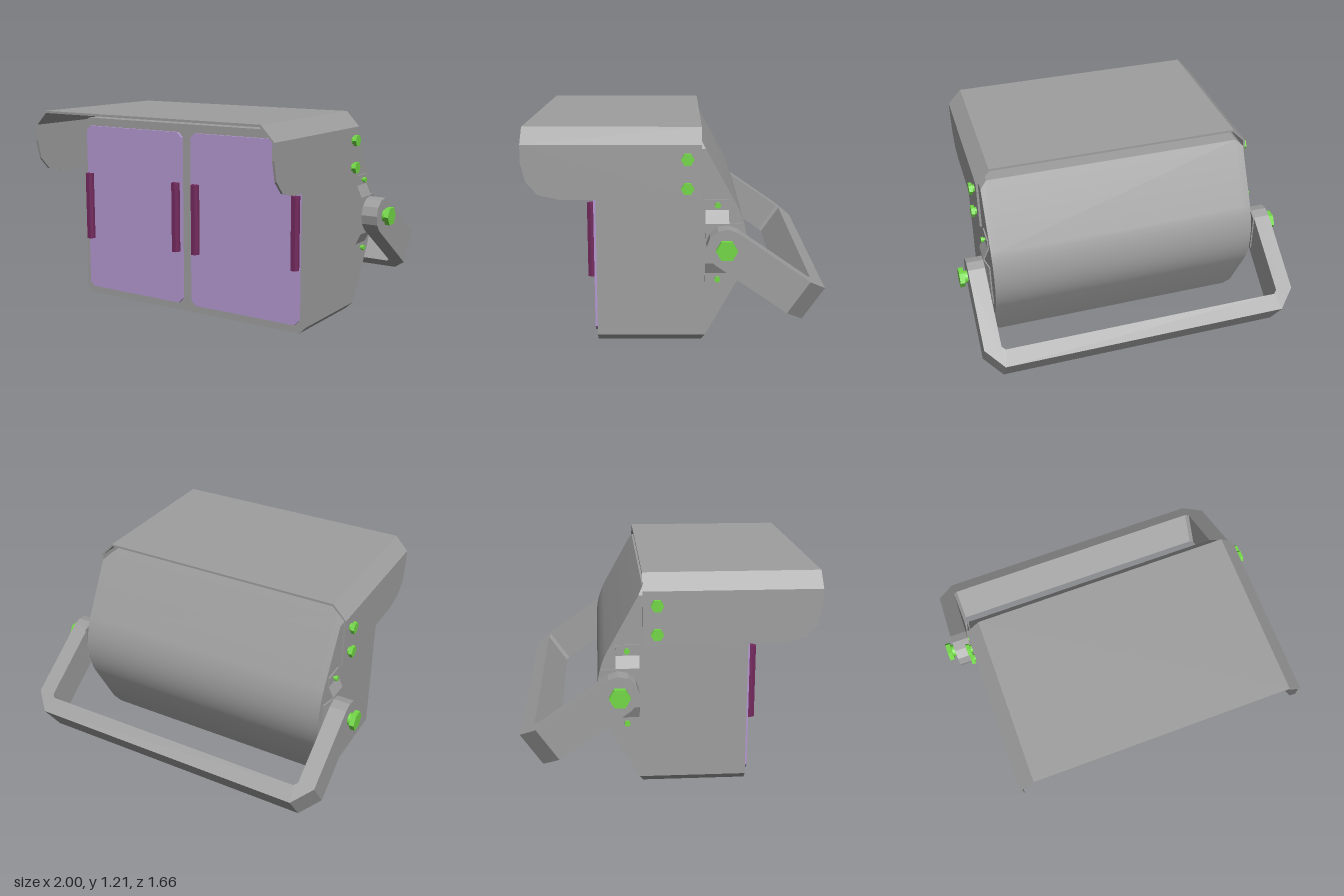
import * as THREE from 'three';
import { toCreasedNormals } from 'three/addons/utils/BufferGeometryUtils.js';

const mat = (color) => new THREE.MeshStandardMaterial({ color });
const grey = mat(0x9e9e9e), lens = mat(0xb498d2), grip = mat(0x742a5e), green = mat(0x73d846);

const shapeOf = (pts) => new THREE.Shape(pts.map(([x, y]) => new THREE.Vector2(x, y)));
const extrude = (shape, depth, steps = 1) =>
  new THREE.ExtrudeGeometry(shape, { depth, steps, bevelEnabled: false, curveSegments: 12 });

export function createModel() {
  const model = new THREE.Group();
  const add = (name, geo, material, parent = model) => {
    const mesh = new THREE.Mesh(geo, material);
    mesh.name = name;
    parent.add(mesh);
    return mesh;
  };

  // Housing: side profile (-z, y) swept along x, long edges chamfered at both ends
  const profile = new THREE.Shape();
  profile.moveTo(-0.43, 0);
  profile.lineTo(0.15, 0);
  profile.lineTo(0.352, 0.365);
  profile.quadraticCurveTo(0.45, 0.57, 0.352, 0.775);
  profile.lineTo(0.15, 1.14);
  profile.lineTo(-0.43, 1.14);
  profile.closePath();
  const body = extrude(profile, 1.62, 3).rotateY(Math.PI / 2).translate(-0.81, 0, 0);
  const pos = body.attributes.position;
  for (let i = 0; i < pos.count; i++) {
    const x = pos.getX(i), y = pos.getY(i);
    if (Math.abs(x) < 0.5) pos.setX(i, Math.sign(x) * 0.77);
    else if (y < 0.01 || y > 1.13) {
      pos.setY(i, y < 0.01 ? 0.04 : 1.1);
      if (pos.getZ(i) < 0) pos.setZ(i, -0.172);
    }
  }
  add('housing', toCreasedNormals(body, 0.6), grey);

  // Front panels and their grips
  const c = 0.03, w = 0.37, h = 0.522;
  const panelShape = shapeOf([[-w + c, -h], [w - c, -h], [w, -h + c], [w, h - c],
    [w - c, h], [-w + c, h], [-w, h - c], [-w, -h + c]]);
  const gripShape = shapeOf([[-0.024, 0], [0.024, 0], [0.024, 0.018], [0.013, 0.037], [-0.013, 0.037], [-0.024, 0.018]]);
  for (const s of [-1, 1]) {
    add('frontPanel', extrude(panelShape, 0.017), lens).position.set(s * 0.403, 0.569, 0.429);
    for (const x of [0.071, 0.748]) {
      const g = extrude(gripShape, 0.42).rotateX(Math.PI / 2);
      add('panelGrip', g, grip).position.set(s * x, 0.79, 0.444);
    }
  }

  // Hood: folded top sheet and two rounded side plates
  const hood = new THREE.Group();
  hood.name = 'hood';
  model.add(hood);
  const topShape = shapeOf([[-0.832, 1.125], [-0.819, 1.125], [-0.745, 1.199], [0.745, 1.199],
    [0.819, 1.125], [0.832, 1.125], [0.75, 1.212], [-0.75, 1.212]]);
  add('hoodTop', extrude(topShape, 0.98).translate(0, 0, -0.15), grey, hood);
  const sideShape = shapeOf([[0.15, 0.823], [0.15, 1.125], [-0.83, 1.125], [-0.83, 1.03],
    [-0.805, 0.92], [-0.74, 0.85], [-0.62, 0.823]]);
  for (const x of [-0.832, 0.819])
    add('hoodSide', extrude(sideShape, 0.013).rotateY(Math.PI / 2).translate(x, 0, 0), grey, hood);

  // Bolt pointing outward along x: neck plus wider head
  const bolt = (name, s, x, y, z, r, len, sides) => {
    const group = new THREE.Group();
    group.name = name;
    const part = (n, radius, from, to, k) => add(n,
      toCreasedNormals(new THREE.CylinderGeometry(radius, radius, to - from, k), 0.6)
        .rotateZ(Math.PI / 2).translate(s * (from + to) / 2, 0, 0), green, group);
    part('boltNeck', r * 0.62, -0.01, len * 0.5, 16);
    part('boltHead', r, len * 0.42, len, sides);
    group.position.set(s * x, y, z);
    model.add(group);
  };

  // Side brackets: strip bent outward in the middle, with a flap folded back
  const t = 0.008;
  const line = [[0.811, 0.345], [0.811, 0.405], [0.842, 0.47], [0.842, 0.695], [0.811, 0.765], [0.811, 0.825]];
  const strip = shapeOf([...line.map(([x, y]) => [x + t, y]), ...line.slice().reverse()]);
  for (const s of [-1, 1]) {
    const bracket = new THREE.Group();
    bracket.name = 'sideBracket';
    model.add(bracket);
    const g = extrude(strip, 0.13).translate(0, 0, -0.3);
    if (s < 0) g.rotateZ(Math.PI).translate(0, 1.17, 0);
    add('bracketStrip', g, grey, bracket);
    const flap = extrude(shapeOf([[0.842, 0.3], [0.85, 0.3], [0.832, 0.385], [0.824, 0.385]]
      .map(([x, z]) => [s * x, z])), 0.225).rotateX(-Math.PI / 2).translate(0, 0.47, 0);
    add('bracketFlap', flap, grey, bracket);

    for (const y of [0.89, 1.05]) bolt('hoodBolt', s, 0.83, y, -0.073, 0.036, 0.036, 6);
    for (const y of [0.375, 0.795]) bolt('bracketScrew', s, 0.818, y, -0.238, 0.016, 0.027, 16);
    bolt('pivotBolt', s, 0.95, 0.58, -0.282, 0.059, 0.05, 6);
  }

  // Carrying yoke: U-shaped bar, arms along local +y, tilted down and back
  const yoke = new THREE.Group();
  yoke.name = 'yoke';
  const half = 0.108;
  const u = shapeOf([[0.85, 0], [0.95, 0], [0.95, 0.48], [0.85, 0.596],
    [-0.85, 0.596], [-0.95, 0.48], [-0.95, 0], [-0.85, 0],
    [-0.85, 0.476], [-0.83, 0.496], [0.83, 0.496], [0.85, 0.476]]);
  add('yokeBar', extrude(u, half * 2).translate(0, 0, -half), grey, yoke);
  for (const s of [-1, 1]) {
    const end = new THREE.CylinderGeometry(half, half, 0.1, 6, 1, false, Math.PI, Math.PI);
    add('yokeEnd', toCreasedNormals(end, 0.3).rotateZ(Math.PI / 2), grey, yoke).position.x = s * 0.9;
  }
  yoke.rotation.x = -2.177;
  yoke.position.set(0, 0.58, -0.282);
  model.add(yoke);

  return model;
}
